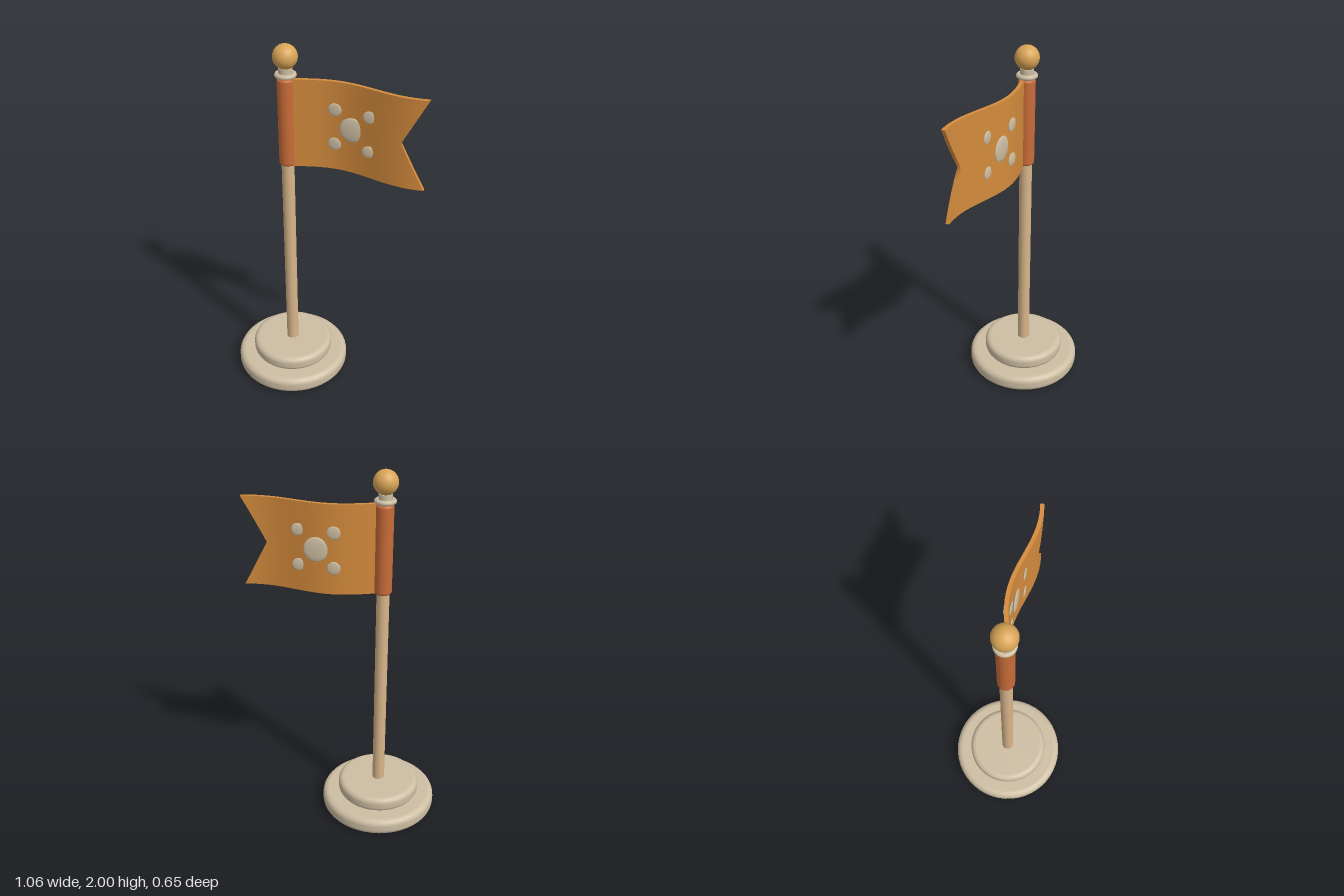
import * as THREE from 'three';

const mat = (name, color) => {
  const m = new THREE.MeshStandardMaterial({ color });
  m.name = name;
  return m;
};

export function createModel() {
  const stone = mat('stone', 0xcdbea3);
  const wood = mat('pale wood', 0xd8b58a);
  const brass = mat('brass', 0xd9a557);
  const rust = mat('rust cloth', 0xc86c38);
  const orange = mat('orange cloth', 0xd48b3c);

  const model = new THREE.Group();
  model.name = 'flagStand';
  const poleX = -0.207;
  const add = (name, geometry, material, x, y, z = 0) => {
    const mesh = new THREE.Mesh(geometry, material);
    mesh.name = name;
    mesh.position.set(x, y, z);
    model.add(mesh);
    return mesh;
  };

  // Solid disc or post with rounded rims, standing on its own y = 0
  const roundedPost = (radius, height, r, segments) => {
    const pts = [new THREE.Vector2(0, 0), new THREE.Vector2(radius - r - 0.001, 0)];
    for (const [cy, start] of [[r, -Math.PI / 2], [height - r, 0]]) {
      for (let i = 0; i <= 6; i++) {
        const a = start + (i / 6) * Math.PI / 2;
        pts.push(new THREE.Vector2(radius - r + r * Math.cos(a), cy + r * Math.sin(a)));
      }
    }
    pts.push(new THREE.Vector2(radius - r - 0.001, height), new THREE.Vector2(0, height));
    return new THREE.LatheGeometry(pts, segments);
  };

  // Two-tier base
  add('lowerBase', roundedPost(0.323, 0.095, 0.034, 48), stone, poleX, 0);
  add('upperBase', roundedPost(0.231, 0.085, 0.03, 48), stone, poleX, 0.09);

  // Pole, cloth sleeve, collar and ball
  add('pole', new THREE.CylinderGeometry(0.034, 0.034, 1.7, 24), wood, poleX, 1.0);
  add('sleeve', roundedPost(0.045, 0.48, 0.016, 24), rust, poleX, 1.35);
  const collar = add('collar', new THREE.TorusGeometry(0.043, 0.013, 12, 32), stone, poleX, 1.844);
  collar.rotation.x = Math.PI / 2;
  add('collarNeck', new THREE.CylinderGeometry(0.035, 0.035, 0.05, 24), stone, poleX, 1.857);
  add('ball', new THREE.SphereGeometry(0.063, 32, 20), brass, poleX, 1.937);

  // Waving swallow-tailed flag: a thin box bent along a wave
  const wave = x => -0.037 * Math.cos(Math.PI * (x - 0.05) / 0.4);
  const flagY = 1.59, half = 0.24, startX = -0.185;
  const cloth = new THREE.BoxGeometry(1, 2 * half, 0.02, 32, 8, 1);
  const p = cloth.attributes.position;
  for (let i = 0; i < p.count; i++) {
    const endX = 0.4 + 0.126 * Math.abs(p.getY(i)) / half;
    const x = startX + (p.getX(i) + 0.5) * (endX - startX);
    p.setX(i, x);
    p.setZ(i, p.getZ(i) + wave(x));
  }
  cloth.computeVertexNormals();
  add('flag', cloth, orange, 0, flagY);

  // Flattened domes on both faces: one large oval and four small dots
  const spots = [[0.133, 0, 0.064, 0.066, 0.01]];
  for (const dy of [-0.094, 0.094]) {
    spots.push([0.041, dy, 0.035, 0.035, 0.006], [0.228, dy, 0.033, 0.033, 0.006]);
  }
  for (const side of [-1, 1]) {
    for (const [x, dy, rx, ry, rz] of spots) {
      const spot = add('flagSpot', new THREE.SphereGeometry(1, 24, 14), stone,
        x, flagY + dy, wave(x) + side * 0.0138);
      spot.scale.set(rx, ry, rz);
    }
  }
  return model;
}
